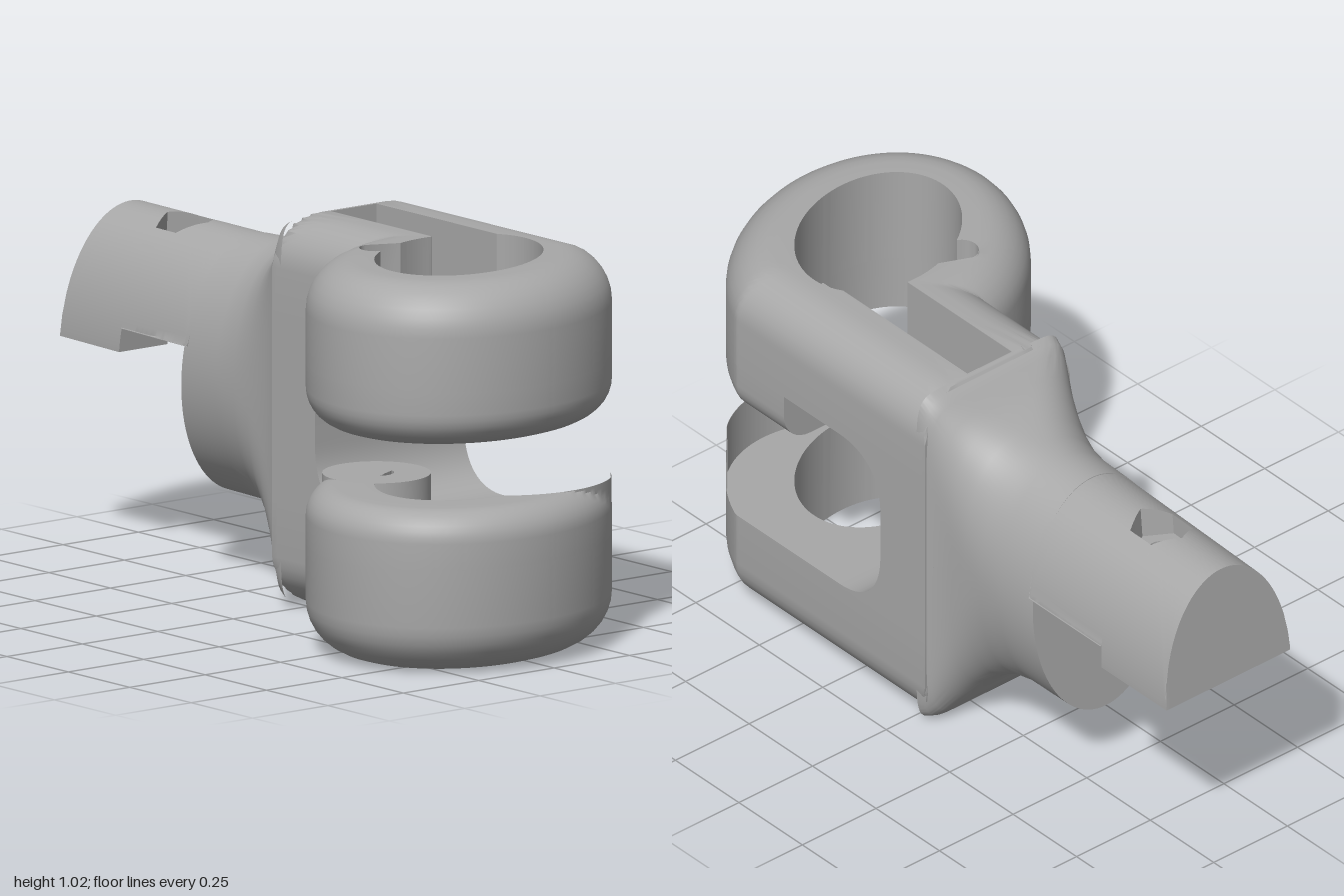
import * as THREE from 'three';
import { toCreasedNormals } from 'three/addons/utils/BufferGeometryUtils.js';

const { cos, sin, abs, max, min, sqrt, PI, atan2, sign } = Math;
const CX = 0.17, CZ = 0.49;               // common centre of both jaws

// Distance from (px, pz) along angle t to the border of a rectangle
function rayRect(px, pz, t, x0, x1, z0, z1) {
  const c = cos(t), s = sin(t);
  const dx = abs(c) < 1e-9 ? 1e9 : ((c > 0 ? x1 : x0) - px) / c;
  const dz = abs(s) < 1e-9 ? 1e9 : ((s > 0 ? z1 : z0) - pz) / s;
  return min(dx, dz);
}

// Distance from the jaw centre to the tilted ellipse of the ring
function rayEllipse(t, a, b) {
  const ux = 0.895, uz = -0.446, dx = CX - 0.01, dz = CZ - 0.6;
  const u0 = (dx * ux + dz * uz) / a, v0 = (-dx * uz + dz * ux) / b;
  const u = (cos(t) * ux + sin(t) * uz) / a, v = (-cos(t) * uz + sin(t) * ux) / b;
  const A = u * u + v * v, B = u0 * u + v0 * v, C = u0 * u0 + v0 * v0 - 1;
  return (-B + sqrt(max(0, B * B - A * C))) / A;
}

// Far distance from the jaw centre to a circle, 0 when missed
function rayCircle(t, x, z, r) {
  const dx = CX - x, dz = CZ - z, B = dx * cos(t) + dz * sin(t);
  const D = B * B - (dx * dx + dz * dz - r * r);
  return D < 0 ? 0 : max(0, -B + sqrt(D));
}

// Sweeps closed sections [radius, height] around a vertical axis
function polarSolid(cx, cz, angles, section, capped) {
  const pos = [], rows = angles.map(section), m = rows[0].length;
  const put = (i, j) => {
    const [r, y] = rows[i][j % m];
    pos.push(cx + r * cos(angles[i]), y, cz + r * sin(angles[i]));
  };
  for (let i = 0; i < rows.length - 1; i++) for (let j = 0; j < m; j++) {
    put(i, j); put(i, j + 1); put(i + 1, j);
    put(i + 1, j); put(i, j + 1); put(i + 1, j + 1);
  }
  if (capped) for (const i of [0, rows.length - 1]) {
    const tris = THREE.ShapeUtils.triangulateShape(rows[i].map(p => new THREE.Vector2(...p)), []);
    for (const [a, b, c] of tris) for (const k of i ? [a, b, c] : [c, b, a]) put(i, k);
  }
  return fromPositions(pos);
}

function fromPositions(pos) {
  const g = new THREE.BufferGeometry();
  g.setAttribute('position', new THREE.Float32BufferAttribute(pos, 3));
  return g;
}

function angleList(from, to, n, extra = []) {
  const list = Array.from({ length: n + 1 }, (_, i) => from + (to - from) * i / n);
  for (const e of extra) for (const k of [e, e + 2 * PI]) if (k > from + 1e-4 && k < to - 1e-4) list.push(k);
  return list.sort((p, q) => p - q);
}

// Lofts superellipse sections [z, cx, cy, hx, hy, power, tilt] towards -z
function loft(sections, n) {
  const pos = [];
  const pt = (s, j) => {
    const [z, cx, cy, hx, hy, p, tilt = 0] = s, t = j / n * 2 * PI;
    const f = v => sign(v) * abs(v) ** (2 / p), y = cy + hy * f(sin(t));
    return [cx + hx * f(cos(t)), y, z - (0.88 - y) * tilt];
  };
  for (let i = 0; i < sections.length - 1; i++) for (let j = 0; j < n; j++) {
    const [a, b] = [sections[i], sections[i + 1]];
    pos.push(...pt(a, j), ...pt(b, j), ...pt(a, j + 1), ...pt(b, j), ...pt(b, j + 1), ...pt(a, j + 1));
  }
  const e = sections[sections.length - 1];
  for (let j = 1; j < n - 1; j++) pos.push(...pt(e, 0), ...pt(e, j + 1), ...pt(e, j));
  return fromPositions(pos);
}

// Vertical extrusion of a shape drawn in x and z
function plate(shape, y0, y1) {
  const g = new THREE.ExtrudeGeometry(shape, { depth: y1 - y0, bevelEnabled: false, curveSegments: 32 });
  return g.rotateX(PI / 2).translate(0, y1, 0);
}

function withHole(shape, x, z, r) {
  shape.holes.push(new THREE.Path().absarc(x, z, r, 0, 2 * PI, true));
  return shape;
}

const disc = (x, z, r) => new THREE.Shape().absarc(x, z, r, 0, 2 * PI, false);

export function createModel() {
  const group = new THREE.Group();
  const grey = new THREE.MeshStandardMaterial({ color: 0xa8a8a8 });
  grey.name = 'grey';
  const add = (name, geo) => {
    const mesh = new THREE.Mesh(toCreasedNormals(geo, 0.6), grey);
    mesh.name = name;
    group.add(mesh);
  };

  // Outlines of the jaws, as radii around the jaw centre
  const clip = (t, r, d) => cos(t) > 1e-6 ? min(r, (0.425 - d - CX) / cos(t)) : r;
  const ringOuter = (t, d) => clip(t, rayEllipse(t, 0.455 - d, 0.38 - d), d);
  const jawOuter = (t, d) => clip(t, max(rayEllipse(t, 0.455 - d, 0.38 - d),
    rayRect(CX, CZ, t, -0.068 + d, 0.425 - d, -0.065 + 0.2 * d, 0.66)), d);
  const bore = t => rayEllipse(t, 0.278, 0.203);
  const corners = [[-0.068, -0.065], [0.425, -0.065], [0.1, -0.03], [0.25, -0.03]]
    .map(([x, z]) => atan2(z - CZ, x - CX));

  // One jaw layer, rounded at the bottom and top of its outside
  const layer = (name, from, to, outer, inner, y0, y1, rBottom, rTop) => {
    const full = to - from > 6.28, steps = 8, prof = [];
    if (rBottom) for (let k = 0; k <= steps; k++) {
      const a = k / steps * PI / 2;
      prof.push([rBottom * (1 - sin(a)), y0 + rBottom * (1 - cos(a))]);
    } else prof.push([0, y0]);
    if (rTop) for (let k = 0; k <= steps; k++) {
      const a = k / steps * PI / 2;
      prof.push([rTop * (1 - cos(a)), y1 - rTop * (1 - sin(a))]);
    } else prof.push([0, y1]);
    add(name, polarSolid(CX, CZ, angleList(from, to, full ? 300 : 180, corners), t => {
      const ri = min(inner(t), outer(t, 0) - 0.003);
      return [[ri, y0], ...prof.map(([d, y]) => [max(outer(t, d), ri + 0.001), y]), [ri, y1]];
    }, !full));
  };

  const slotBore = t => max(bore(t), rayRect(CX, CZ, t, 0.1, 0.25, -0.03, 0.5), rayCircle(t, -0.1, 0.4, 0.045));
  const ringEnd = 2 * PI + atan2(0.25 - CZ, -0.1 - CX);
  layer('upperJaw', -PI, PI, jawOuter, slotBore, 0.75, 1.02, 0, 0.13);
  layer('upperJawRing', 0, ringEnd, ringOuter, t => max(bore(t), rayCircle(t, -0.1, 0.4, 0.045)), 0.598, 0.75, 0.09, 0);
  layer('lowerJaw', -PI, PI, jawOuter, t => max(bore(t), rayCircle(t, -0.1, 0.4, 0.11)), 0, 0.28, 0.13, 0);
  layer('lowerJawRing', 0.98, ringEnd, ringOuter, t => max(bore(t), rayCircle(t, 0.145, 0.61, 0.285)), 0.28, 0.43, 0, 0.08);

  // Pad inside the upper ring, with a rimmed bolt hole
  const pad = () => {
    const s = new THREE.Shape();
    s.moveTo(0.3, 0.49);
    s.lineTo(0.3, 0.73);
    s.lineTo(0.2, 0.79);
    s.lineTo(0.015, 0.845);
    s.lineTo(0.015, 0.58);
    s.quadraticCurveTo(0.015, 0.49, 0.105, 0.49);
    return s;
  };
  add('upperPad', plate(withHole(pad(), 0.145, 0.61, 0.043), 0.598, 0.71));
  add('upperPadTop', plate(withHole(pad(), 0.145, 0.61, 0.065), 0.71, 0.75));
  add('upperPadRim', plate(withHole(disc(0.145, 0.61, 0.085), 0.145, 0.61, 0.065), 0.75, 0.77));

  // Boss inside the lower ring, countersunk from below
  add('lowerBoss', plate(withHole(disc(-0.1, 0.4, 0.14), -0.1, 0.4, 0.045), 0.31, 0.43));
  add('lowerBossSeat', plate(withHole(disc(-0.1, 0.4, 0.14), -0.1, 0.4, 0.07), 0.278, 0.31));

  // Spine joining the jaws, with rounded inner corners
  const side = new THREE.Shape();
  side.moveTo(-0.065, 0.27);
  side.lineTo(0.27, 0.27);
  side.lineTo(0.27, 0.28);
  side.bezierCurveTo(0.18, 0.28, 0.11, 0.33, 0.11, 0.45);
  side.lineTo(0.11, 0.59);
  side.bezierCurveTo(0.11, 0.7, 0.18, 0.75, 0.27, 0.75);
  side.lineTo(-0.065, 0.75);
  add('spine', new THREE.ExtrudeGeometry(side, { depth: 0.493, bevelEnabled: false, curveSegments: 16 })
    .rotateY(-PI / 2).translate(0.425, 0, 0));

  // Flare from the square body to the oval shank
  add('shankFlare', loft([
    [-0.03, 0.178, 0.51, 0.246, 0.508, 12],
    [-0.055, 0.178, 0.51, 0.245, 0.498, 10],
    [-0.075, 0.178, 0.512, 0.238, 0.48, 8],
    [-0.11, 0.178, 0.52, 0.23, 0.44, 5],
    [-0.15, 0.18, 0.53, 0.226, 0.402, 3.6],
    [-0.2, 0.182, 0.537, 0.223, 0.372, 2.7],
    [-0.26, 0.184, 0.541, 0.222, 0.354, 2.2],
    [-0.33, 0.186, 0.544, 0.222, 0.346, 2, 0.02],
    [-0.445, 0.187, 0.543, 0.222, 0.342, 2, 0.085],
  ], 96));

  // Stepped half-oval shank end, drilled with a hexagonal nut pocket
  const HX = 0.175, HZ = -0.715, hole = 0.045;
  const hex = t => 0.073 / cos(t - Math.round(t / (PI / 3)) * PI / 3);
  const shankCorners = [[-0.035, -0.97], [0.41, -0.97], [-0.035, -0.43], [0.41, -0.43]]
    .map(([x, z]) => atan2(z - HZ, x - HX));
  const shankHalf = (name, from, bottom) => {
    const g = polarSolid(HX, HZ, angleList(from, from + PI, 120, shankCorners), t => {
      const R = rayRect(HX, HZ, t, -0.035, 0.41, -0.97, -0.43), h = hex(t), rows = [];
      for (let k = 24; k >= 0; k--) {
        const r = h + (R - h) * sin(k / 24 * PI / 2);
        const q = (HX + r * cos(t) - 0.1875) / 0.2226;
        rows.push([r, max(bottom + 0.001, 0.545 + 0.338 * sqrt(max(0, 1 - q * q)))]);
      }
      return [[hole, bottom], [R, bottom], ...rows, [h, 0.8], [hole, 0.8]];
    }, true);
    // Slight taper and lean
    const p = g.attributes.position;
    for (let i = 0; i < p.count; i++) {
      const x = p.getX(i), y = p.getY(i), z = p.getZ(i);
      p.setX(i, x + 0.025 * (-0.43 - z) / 0.54 * (0.41 - x) / 0.445);
      p.setZ(i, z - (0.88 - y) * 0.09);
    }
    add(name, g);
  };
  shankHalf('shankNeck', 0, 0.613);
  shankHalf('shankTip', PI, 0.55);
  return group;
}
